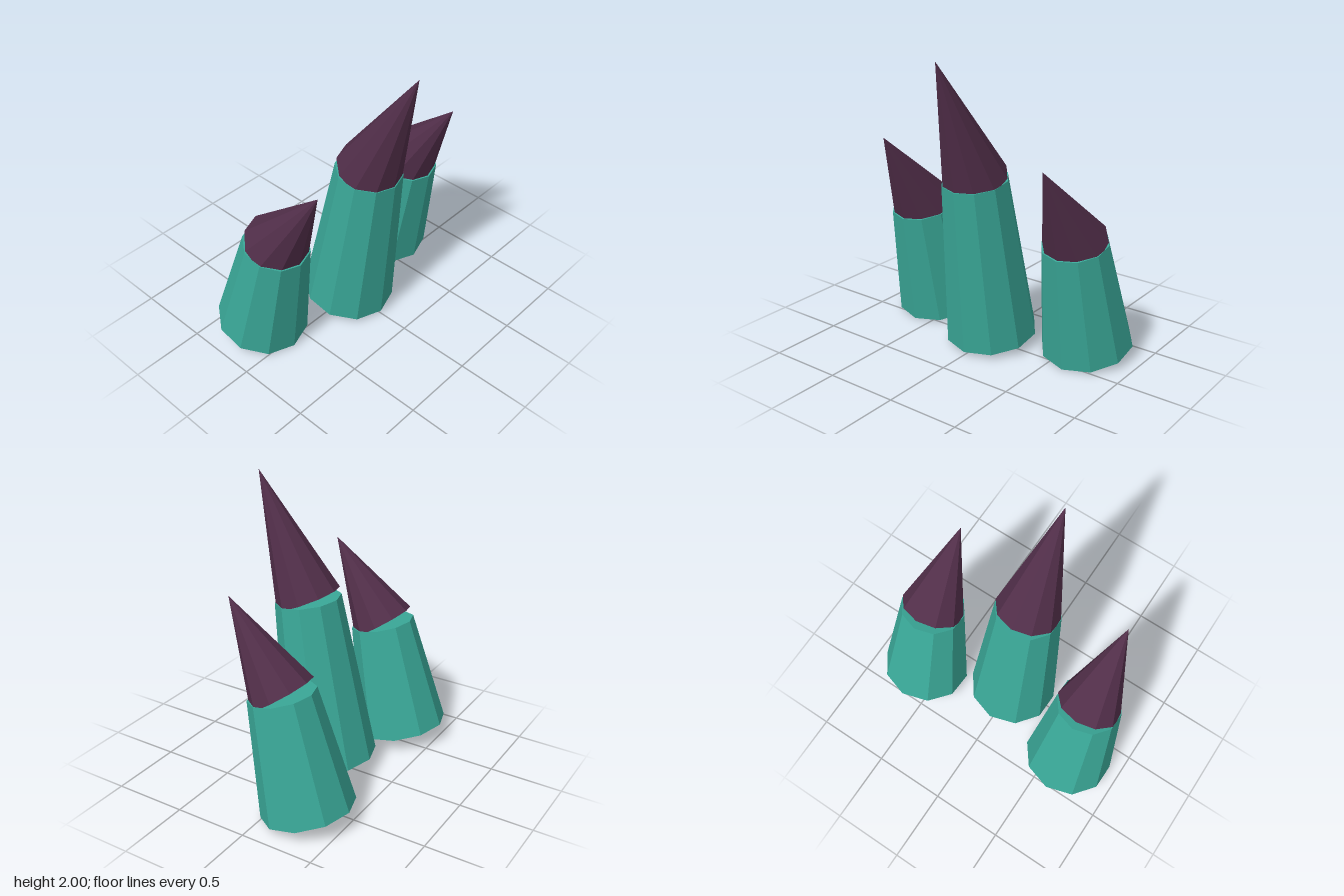
import * as THREE from 'three';

const teal = new THREE.MeshStandardMaterial({ color: 0x3aa898, flatShading: true });
teal.name = 'teal';
const plum = new THREE.MeshStandardMaterial({ color: 0x512e49, flatShading: true });
plum.name = 'plum';

const SIDES = 10;
const rad = THREE.MathUtils.degToRad;

// One toe: a tapered, leaning column with a claw hinged further forward at its top
function makeToe(name, { x, y, z, height, lean, clawHeight, clawLean }) {
  const toe = new THREE.Group();
  toe.name = name;
  toe.position.set(x, y, z);
  toe.rotation.z = -rad(lean);

  const columnGeo = new THREE.CylinderGeometry(0.22, 0.309, height, SIDES);
  columnGeo.rotateY(Math.PI / 2).translate(0, height / 2, 0);
  const column = new THREE.Mesh(columnGeo, teal);
  column.name = 'toeColumn';

  const clawGeo = new THREE.ConeGeometry(0.22, clawHeight, SIDES);
  clawGeo.rotateY(Math.PI / 2).translate(0, clawHeight / 2, 0);
  const claw = new THREE.Mesh(clawGeo, plum);
  claw.name = 'claw';
  claw.position.y = height;
  claw.rotation.z = -rad(clawLean - lean);

  toe.add(column, claw);
  return toe;
}

export function createModel() {
  const model = new THREE.Group();
  model.name = 'clawedFoot';

  // Tall middle toe
  model.add(makeToe('middleToe', {
    x: -0.02, y: 0.075, z: 0, height: 1.133, lean: 9, clawHeight: 0.888, clawLean: 24.4,
  }));

  // Shorter outer toes, mirrored across z
  for (const side of [1, -1]) {
    model.add(makeToe(side > 0 ? 'frontToe' : 'backToe', {
      x: -0.24, y: 0.077, z: side * 0.623, height: 0.784, lean: 13.5, clawHeight: 0.675, clawLean: 34,
    }));
  }
  return model;
}
